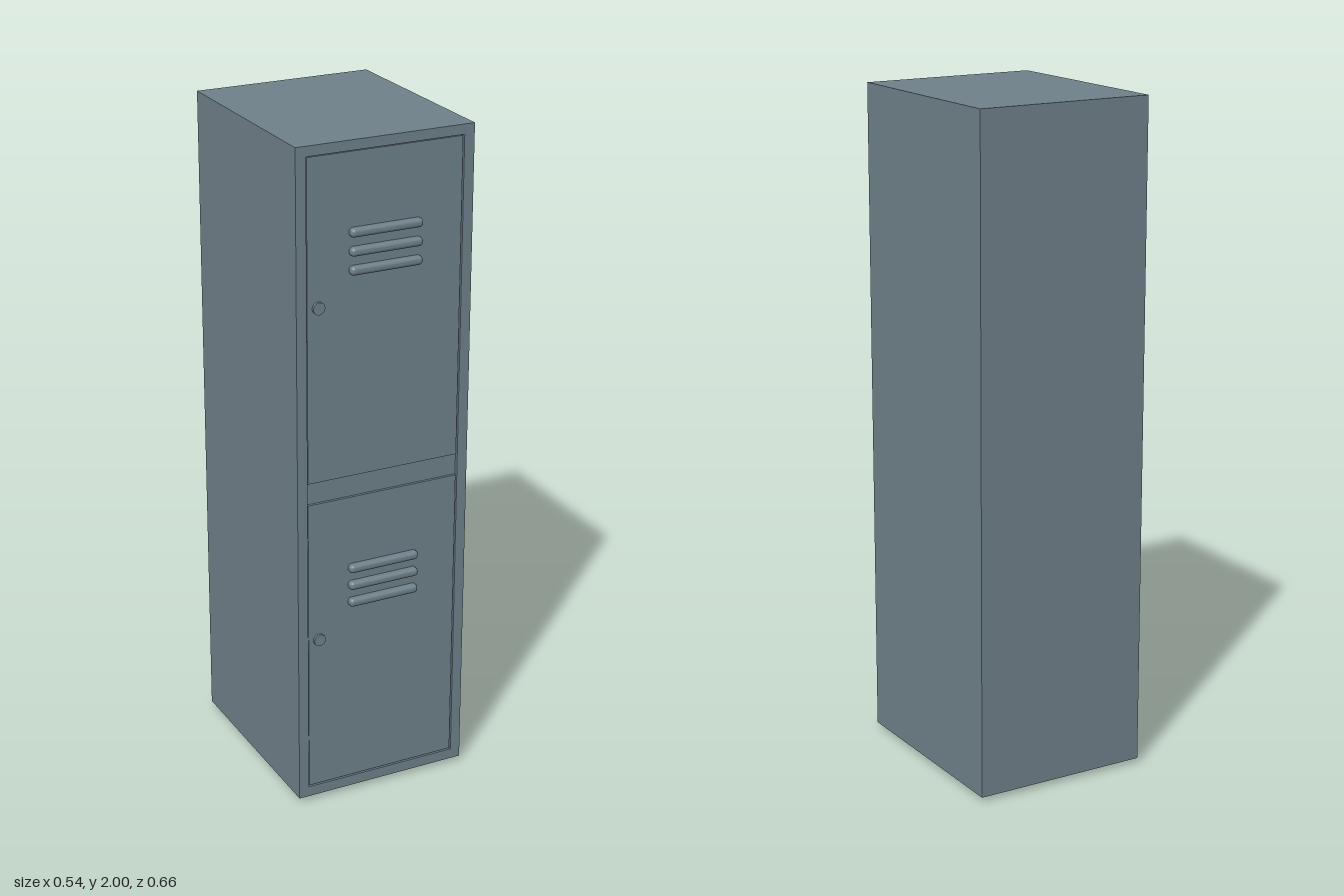
import * as THREE from 'three';
import { RoundedBoxGeometry } from 'three/addons/geometries/RoundedBoxGeometry.js';

export function createModel() {
  const locker = new THREE.Group();
  locker.name = 'locker';

  const steel = new THREE.MeshStandardMaterial({ color: 0x6f808a });
  steel.name = 'blue grey steel';

  function add(name, geometry, x, y, z, parent = locker) {
    const mesh = new THREE.Mesh(geometry, steel);
    mesh.name = name;
    mesh.position.set(x, y, z);
    parent.add(mesh);
    return mesh;
  }

  const halfWidth = 0.27, bottom = 0.015, top = 2;
  const back = -0.33, front = 0.31, lip = 0.02;

  // Cabinet body behind the front frame
  const depth = front - lip - back;
  add('cabinet', new THREE.BoxGeometry(halfWidth * 2, top - bottom, depth),
    0, (top + bottom) / 2, back + depth / 2);

  // Front frame with one tall opening
  const rectangle = (Type, x, y0, y1) => new Type([
    new THREE.Vector2(-x, y0), new THREE.Vector2(x, y0),
    new THREE.Vector2(x, y1), new THREE.Vector2(-x, y1),
  ]);
  const frame = rectangle(THREE.Shape, halfWidth, bottom, top);
  frame.holes.push(rectangle(THREE.Path, 0.239, 0.047, 1.971));
  add('frontFrame', new THREE.ExtrudeGeometry(frame, { depth: lip, bevelEnabled: false }),
    0, 0, front - lip);

  // Recessed rail between the doors
  add('middleRail', new THREE.BoxGeometry(0.478, 0.07, 0.01), 0, 0.993, 0.294);

  // Two doors, each with three louvers and a round lock
  const doors = [
    { name: 'lowerDoor', y0: 0.05, y1: 0.96, vent: 0.684, lock: 0.53 },
    { name: 'upperDoor', y0: 1.026, y1: 1.968, vent: 1.69, lock: 1.543 },
  ];
  for (const { name, y0, y1, vent, lock } of doors) {
    const door = new THREE.Group();
    door.name = name;
    locker.add(door);
    add('doorPanel', new THREE.BoxGeometry(0.472, y1 - y0, 0.018), 0, (y0 + y1) / 2, 0.298, door);
    for (const step of [-1, 0, 1]) {
      add('louver', new RoundedBoxGeometry(0.22, 0.026, 0.03, 4, 0.011), 0, vent + step * 0.054, 0.312, door);
    }
    const cylinder = new THREE.CylinderGeometry(0.018, 0.018, 0.014, 24);
    cylinder.rotateX(Math.PI / 2);
    add('lock', cylinder, -0.203, lock, 0.308, door);
  }

  // Tiny levelling feet under the corners
  for (const x of [-0.2, 0.2]) {
    for (const z of [-0.25, 0.23]) {
      add('foot', new THREE.CylinderGeometry(0.006, 0.006, bottom, 10), x, bottom / 2, z);
    }
  }

  return locker;
}
